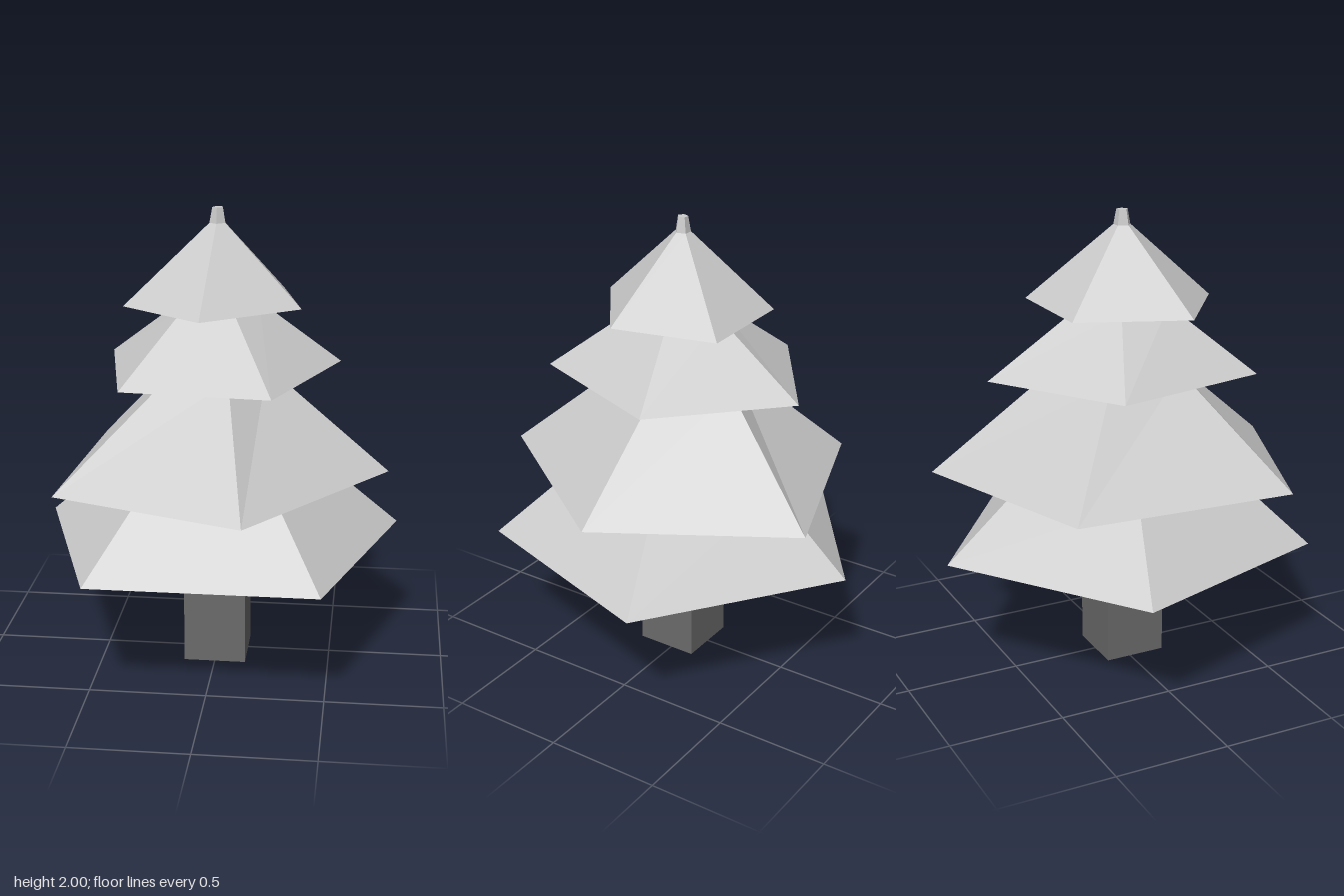
import * as THREE from 'three';

const CZ = 0.025; // trunk axis sits slightly forward

// Flat-shaded shell through a stack of five-sided rings, closed underneath.
// Each ring is { y, pts: [[x, z], ...] }, running clockwise seen from above.
function ringShell(rings, closeTop) {
  const pos = [];
  const tri = (a, b, c) => pos.push(...a, ...b, ...c);
  const loops = rings.map(({ y, pts }) => pts.map(([x, z]) => [x, y, z]));
  const n = loops[0].length;
  for (let k = 0; k + 1 < loops.length; k++) {
    const lo = loops[k], hi = loops[k + 1];
    for (let i = 0; i < n; i++) {
      const j = (i + 1) % n;
      tri(lo[j], lo[i], hi[i]);
      tri(lo[j], hi[i], hi[j]);
    }
  }
  const first = loops[0], last = loops[loops.length - 1];
  for (let i = 1; i + 1 < n; i++) {
    tri(first[0], first[i], first[i + 1]);
    if (closeTop) tri(last[0], last[i + 1], last[i]);
  }
  const geo = new THREE.BufferGeometry();
  geo.setAttribute('position', new THREE.Float32BufferAttribute(pos, 3));
  geo.computeVertexNormals();
  return geo;
}

// Shrinks a ring toward the trunk axis
const shrink = (pts, s) => pts.map(([x, z]) => [x * s, CZ + (z - CZ) * s]);

export function createModel() {
  const tree = new THREE.Group();
  tree.name = 'tree';
  const foliage = new THREE.MeshStandardMaterial({ color: 0xcccccc });
  foliage.name = 'foliage light grey';
  const bark = new THREE.MeshStandardMaterial({ color: 0x6b6b6b });
  bark.name = 'bark dark grey';

  const add = (name, geo, mat) => {
    const mesh = new THREE.Mesh(geo, mat);
    mesh.name = name;
    tree.add(mesh);
    return mesh;
  };

  // Square trunk
  add('trunk', new THREE.BoxGeometry(0.27, 0.55, 0.27), bark).position.set(0, 0.275, CZ);

  // Bottom skirt: a regular pentagon
  const base = Array.from({ length: 5 }, (_, i) => {
    const a = (i * Math.PI * 2) / 5;
    return [Math.sin(a) * 0.826, CZ - Math.cos(a) * 0.826];
  });
  add('lowestBranches', ringShell([
    { y: 0.55, pts: base },
    { y: 0.87, pts: shrink(base, 0.56) },
  ]), foliage);

  // Two uneven, twisted middle skirts
  add('lowerMiddleBranches', ringShell([
    { y: 0.87, pts: [[0.28, -0.755], [0.74, 0.02], [0.175, 0.8], [-0.635, 0.505], [-0.57, -0.455]] },
    { y: 1.32, pts: [[0.08, -0.27], [0.21, 0.01], [0.07, 0.275], [-0.18, 0.21], [-0.18, -0.11]] },
  ]), foliage);
  add('upperMiddleBranches', ringShell([
    { y: 1.32, pts: [[0.05, -0.575], [0.52, -0.117], [0.268, 0.535], [-0.355, 0.483], [-0.49, -0.205]] },
    { y: 1.6, pts: [[0.015, -0.17], [0.17, -0.015], [0.08, 0.195], [-0.125, 0.18], [-0.145, -0.05]] },
  ]), foliage);

  // Crown skirt running up into the small blunt tip
  const crown = [[0.255, -0.31], [0.36, 0.137], [-0.034, 0.427], [-0.383, 0.16], [-0.2, -0.3]];
  add('crownBranches', ringShell([
    { y: 1.6, pts: crown },
    { y: 1.935, pts: shrink(crown, 0.09) },
    { y: 2, pts: shrink(crown, 0.06) },
  ], true), foliage);

  return tree;
}
